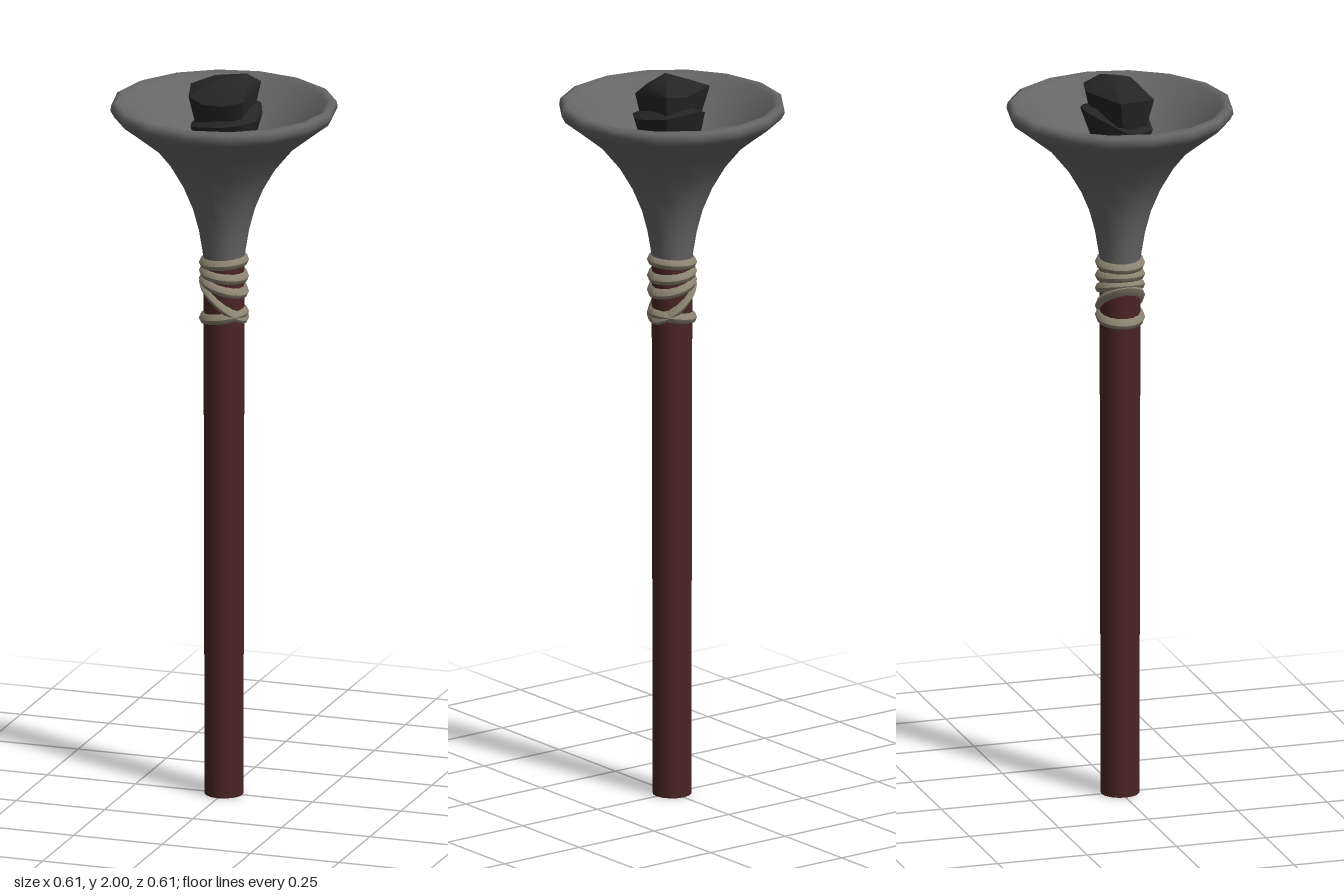
import * as THREE from 'three';
import { toCreasedNormals } from 'three/addons/utils/BufferGeometryUtils.js';
import { ConvexGeometry } from 'three/addons/geometries/ConvexGeometry.js';

const material = (color, side = THREE.FrontSide) => new THREE.MeshStandardMaterial({ color, side });

export function createModel() {
  const model = new THREE.Group();
  const add = (name, geometry, mat) => {
    const mesh = new THREE.Mesh(geometry, mat);
    mesh.name = name;
    model.add(mesh);
    return mesh;
  };

  // Wooden shaft, very slightly thicker toward the top
  const shaft = new THREE.CylinderGeometry(0.055, 0.052, 1.5, 16);
  shaft.translate(0, 0.75, 0);
  add('handle', shaft, material(0x4a2523));

  // Flared metal bowl: outer flare, rounded rim, hollow inside
  const profile = [
    [0.053, 1.46], [0.057, 1.51], [0.067, 1.57], [0.083, 1.63], [0.108, 1.69],
    [0.143, 1.75], [0.192, 1.81], [0.255, 1.86], [0.294, 1.89], [0.304, 1.908],
    [0.301, 1.924], [0.288, 1.93], [0.272, 1.922], [0.235, 1.885], [0.19, 1.845],
    [0.14, 1.805], [0.085, 1.78], [0, 1.77],
  ].map(([r, y]) => new THREE.Vector2(r, y));
  add('bowl', new THREE.LatheGeometry(profile, 16), material(0x666666, THREE.DoubleSide));

  // Rope binding: rings of [height, drop toward +x]
  const ropeMaterial = material(0x8c8370);
  const rings = [[1.485, -0.004], [1.45, 0.006], [1.418, 0.014], [1.378, 0.04], [1.335, -0.008]];
  rings.forEach(([y, drop], i) => {
    const ring = new THREE.TorusGeometry(0.051, 0.016, 8, 20);
    ring.rotateX(Math.PI / 2);
    const p = ring.attributes.position;
    for (let k = 0; k < p.count; k++) p.setY(k, p.getY(k) + y - (drop * p.getX(k)) / 0.051);
    ring.computeVertexNormals();
    add('ropeRing' + (i + 1), ring, ropeMaterial);
  });

  // Coal: faceted lumps, each a hull of a few corner points
  const coalMaterial = material(0x252525);
  const lumps = {
    coalTop: [
      [-0.035, 1.99, -0.03], [0, 2, 0.03], [0.05, 2, -0.04], [0.07, 1.985, 0.02],
      [-0.104, 1.96, -0.03], [-0.075, 1.955, 0.072], [-0.03, 1.94, 0.085], [0.025, 1.94, 0.085],
      [0.078, 1.97, -0.078], [0.02, 1.965, -0.09], [0.078, 1.95, 0.06],
      [-0.085, 1.89, -0.02], [-0.06, 1.86, 0.05], [0.06, 1.86, 0.05], [0.06, 1.87, -0.06], [-0.03, 1.87, -0.06],
    ],
    coalBase: [
      [-0.065, 1.9, -0.06], [-0.025, 1.92, -0.1], [0.027, 1.92, -0.103], [0.078, 1.91, -0.08],
      [0.1, 1.9, -0.025], [0.1, 1.89, 0.03], [0.075, 1.89, 0.075], [0.02, 1.88, 0.084],
      [-0.07, 1.87, 0.07], [-0.09, 1.86, 0.01], [0.02, 1.94, 0],
      [-0.05, 1.77, 0.04], [0.05, 1.77, 0.05], [0.06, 1.77, -0.04], [-0.03, 1.77, -0.06],
    ],
  };
  for (const [name, points] of Object.entries(lumps)) {
    const hull = new ConvexGeometry(points.map((p) => new THREE.Vector3(...p)));
    add(name, toCreasedNormals(hull, 0.7), coalMaterial);
  }

  return model;
}
